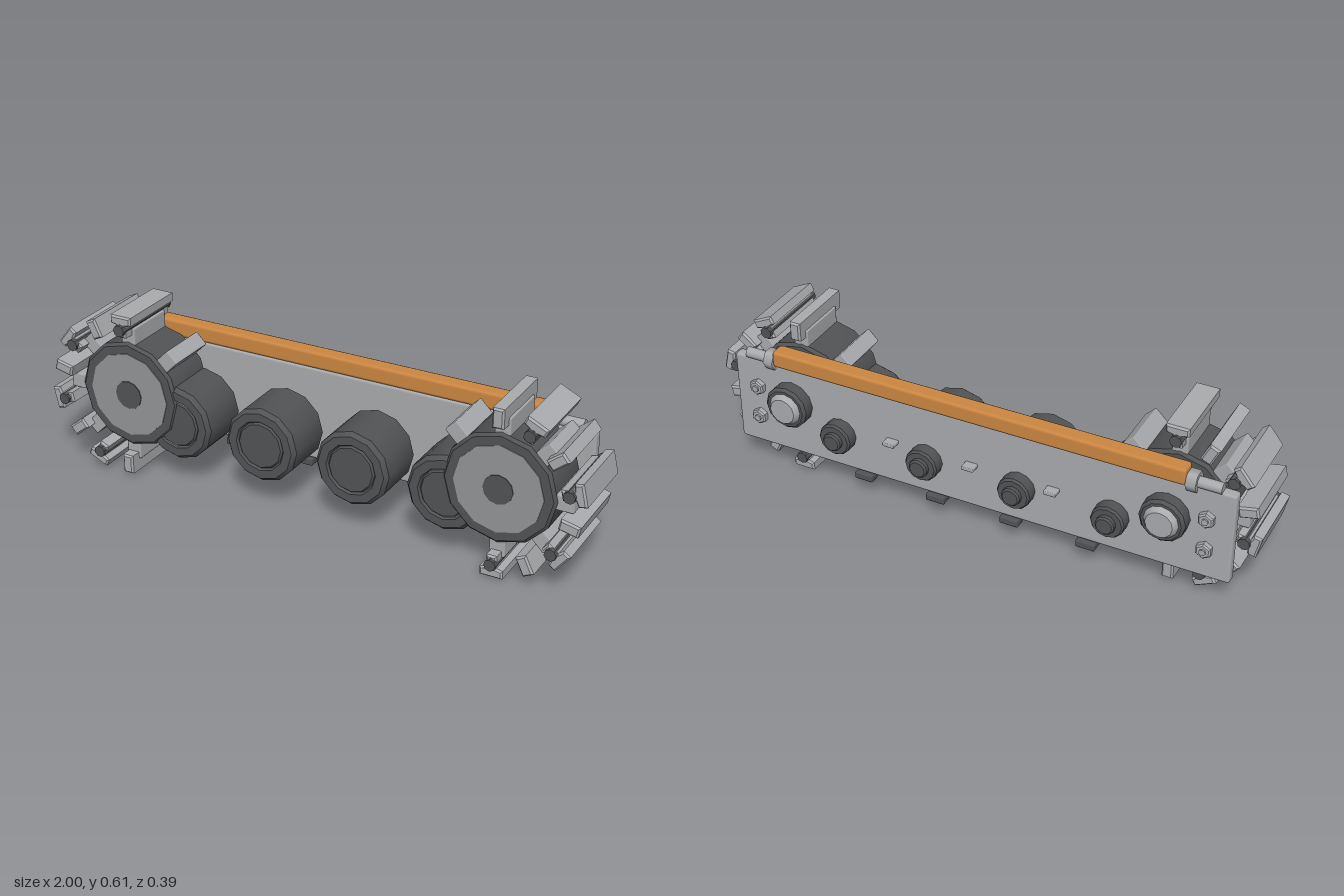
import * as THREE from 'three';
import { toCreasedNormals } from 'three/addons/utils/BufferGeometryUtils.js';
import { RoundedBoxGeometry } from 'three/addons/geometries/RoundedBoxGeometry.js';

const material = (name, color) => {
  const m = new THREE.MeshStandardMaterial({ color });
  m.name = name;
  return m;
};

export function createModel() {
  const model = new THREE.Group();
  model.name = 'trackUnit';
  const steel = material('light steel', 0xa9abae);
  const disc = material('disc grey', 0x939598);
  const dark = material('dark rubber', 0x525355);
  const orange = material('orange paint', 0xcc8742);

  const add = (name, geo, mat, x = 0, y = 0, z = 0, parent = model) => {
    const m = new THREE.Mesh(geo, mat);
    m.name = name;
    m.position.set(x, y, z);
    parent.add(m);
    return m;
  };
  const box = (w, h, d, r = 0.008) => new RoundedBoxGeometry(w, h, d, 1, r);

  // Turned part along z, from [radius, z] points listed back to front
  const turned = (points, sides = 12) => {
    const geo = new THREE.LatheGeometry(points.map(([r, z]) => new THREE.Vector2(r, z)), sides);
    geo.rotateX(Math.PI / 2);
    // The lathe's y became z, so the profile keeps its direction
    return toCreasedNormals(geo, 0.6);
  };

  // Side plate, top bar and the small tabs
  add('sidePlate', box(1.84, 0.345, 0.04, 0.01), steel, 0, 0.2725, -0.105);
  add('topBar', box(1.51, 0.062, 0.06, 0.012), orange, 0, 0.474, -0.115);
  for (const x of [-0.42, -0.14, 0.14, 0.42])
    add('bottomTab', box(0.07, 0.026, 0.047, 0.005), dark, x, 0.08, -0.108);
  for (const x of [-0.3, 0, 0.3])
    add('plateTab', box(0.045, 0.014, 0.04, 0.003), steel, x, 0.27, -0.14);

  // Road wheels with a grooved face, an axle and a stepped cap behind the plate
  const wheelGeo = turned([
    [0, -0.06], [0.12, -0.06], [0.135, -0.045], [0.135, 0.133], [0.122, 0.148],
    [0.092, 0.148], [0.086, 0.14], [0.08, 0.147], [0, 0.147]]);
  const axleGeo = turned([[0, -0.1], [0.045, -0.1], [0.045, -0.05], [0, -0.05]]);
  const capGeo = turned([
    [0, -0.194], [0.028, -0.194], [0.034, -0.188], [0.034, -0.174],
    [0.054, -0.174], [0.06, -0.166], [0.06, -0.12], [0, -0.12]]);
  for (const x of [-0.51, -0.175, 0.17, 0.505]) {
    add('roadWheel', wheelGeo, dark, x, 0.235);
    add('wheelAxle', axleGeo, dark, x, 0.235);
    add('axleCap', capGeo, dark, x, 0.235);
  }

  // Drive drum pieces
  const drumGeo = turned([
    [0, -0.055], [0.185, -0.055], [0.196, -0.045], [0.196, 0.142], [0.186, 0.152], [0, 0.152]]);
  const faceGeo = turned([[0, 0.15], [0.155, 0.15], [0.155, 0.155], [0, 0.155]]);
  const hubGeo = turned([[0, 0.152], [0.052, 0.152], [0.052, 0.158], [0, 0.158]]);
  const backHubGeo = turned([
    [0, -0.176], [0.07, -0.176], [0.08, -0.166], [0.08, -0.12], [0, -0.12]]);
  const backCapGeo = turned([[0, -0.194], [0.047, -0.194], [0.062, -0.174], [0, -0.174]]);
  const toothGeo = box(0.055, 0.065, 0.19, 0.005);
  const nutGeo = turned([[0, -0.147], [0.023, -0.147], [0.029, -0.142], [0.029, -0.12], [0, -0.12]], 6);
  const studGeo = turned([[0, -0.153], [0.012, -0.153], [0.012, -0.14], [0, -0.14]], 8);

  // Track shoes: T-shaped and plain sections, with local y pointing outward
  const shoe = (points) => {
    const geo = new THREE.ExtrudeGeometry(
      new THREE.Shape(points.map(([x, y]) => new THREE.Vector2(x, y))),
      { depth: 0.256, bevelEnabled: true, bevelSize: 0.006, bevelThickness: 0.007, bevelSegments: 1 });
    geo.translate(0, 0, -0.078);
    return geo;
  };
  const wideShoe = shoe([
    [-0.012, 0.232], [0.012, 0.232], [0.012, 0.275], [0.034, 0.28],
    [0.034, 0.299], [-0.034, 0.299], [-0.034, 0.28], [-0.012, 0.275]]);
  const narrowShoe = shoe([[-0.014, 0.23], [0.014, 0.23], [0.014, 0.287], [-0.014, 0.287]]);
  const pinGeo = turned([[0, -0.095], [0.021, -0.095], [0.021, 0.196], [0, 0.196]], 8);

  for (const side of [-1, 1]) {
    const drive = new THREE.Group();
    drive.name = side < 0 ? 'rightDrive' : 'leftDrive';
    drive.position.set(side * 0.695, 0.307, 0);
    model.add(drive);
    add('driveDrum', drumGeo, dark, 0, 0, 0, drive);
    add('driveAxle', axleGeo, dark, 0, 0, 0, drive);
    add('drumFace', faceGeo, disc, 0, 0, 0, drive);
    add('drumHub', hubGeo, dark, 0, 0, 0, drive);
    add('backHub', backHubGeo, dark, 0, 0, 0, drive);
    add('backHubCap', backCapGeo, steel, 0, 0, 0, drive);

    // Teeth all round the drum
    for (let i = 0; i < 8; i++) {
      const spoke = new THREE.Group();
      spoke.name = 'toothSpoke';
      spoke.rotation.z = i * Math.PI / 4;
      drive.add(spoke);
      add('driveTooth', toothGeo, steel, 0, 0.217, 0.047, spoke);
    }
    // Eight shoes over the outer half, alternating wide and narrow
    for (let i = 0; i < 8; i++) {
      const link = new THREE.Group();
      link.name = 'trackLink';
      link.rotation.z = -side * i * Math.PI / 7;
      drive.add(link);
      const wide = (i % 2 === 0) === (side < 0);
      add('trackShoe', wide ? wideShoe : narrowShoe, steel, 0, 0, 0, link);
      if (wide) add('trackPin', pinGeo, dark, 0, 0.256, 0, link);
    }

    // Bolts on the back of the plate
    for (const y of [0.215, 0.335]) {
      add('plateNut', nutGeo, steel, side * 0.83, y);
      add('plateStud', studGeo, steel, side * 0.83, y);
    }
    // Tension rod and hexagonal nut at each end of the bar
    const rod = add('tensionRod', new THREE.CylinderGeometry(0.02, 0.02, 0.15, 10), steel, side * 0.795, 0.455, -0.113);
    rod.rotation.z = Math.PI / 2;
    const nut = add('rodNut', new THREE.CylinderGeometry(0.037, 0.037, 0.035, 6), steel, side * 0.772, 0.455, -0.113);
    nut.rotation.z = Math.PI / 2;
  }
  return model;
}
